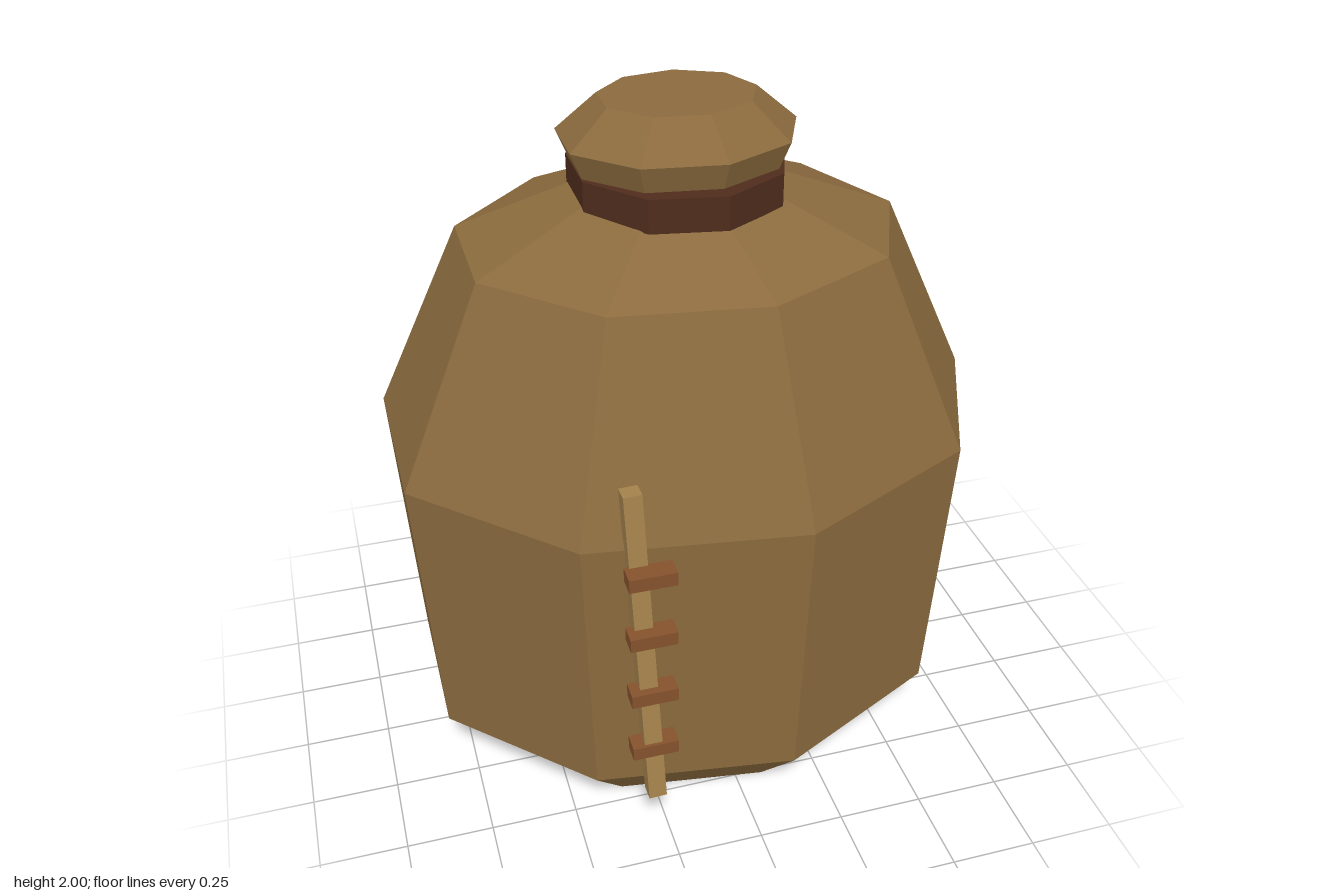
import * as THREE from 'three';

const material = (color) => new THREE.MeshStandardMaterial({ color, flatShading: true });

export function createModel() {
  const group = new THREE.Group();
  const SIDES = 9;

  const add = (name, geometry, mat, x, y, z) => {
    const mesh = new THREE.Mesh(geometry, mat);
    mesh.name = name;
    mesh.position.set(x, y, z);
    group.add(mesh);
    return mesh;
  };

  // Sack: nine-sided profile (radius, height), flattened front to back
  const profile = [
    [0, 0], [0.631, 0], [0.843, 0.21], [0.894, 1.055], [0.631, 1.615],
    [0.27, 1.76], [0.3, 1.82], [0.335, 1.9], [0.219, 2], [0, 2],
  ].map(([r, y]) => new THREE.Vector2(r, y));
  const sack = new THREE.LatheGeometry(profile, SIDES, Math.PI / 2);
  sack.scale(1, 1, 0.84);
  add('sack', sack, material(0x8b6b3e), -0.03, 0, -0.01);

  // Cord tied around the neck
  const tie = new THREE.CylinderGeometry(0.305, 0.305, 0.095, SIDES, 1, false, Math.PI / 2);
  add('neckTie', tie, material(0x4f2c1c), -0.03, 1.777, -0.01);

  // Seam strip leaning along the front
  const seam = add('seam', new THREE.BoxGeometry(0.05, 0.985, 0.05), material(0xa5834d), -0.328, 0.742, 0.69);
  seam.rotation.set(-0.07, 0, 0.036);

  // Cross stitches over the seam
  const stitchMat = material(0x85522d);
  [0.425, 0.615, 0.81, 1.005].forEach((y, i) => {
    add(`stitch${i + 1}`, new THREE.BoxGeometry(0.128, 0.04, 0.056), stitchMat, -0.312, y, 0.717);
  });

  return group;
}
